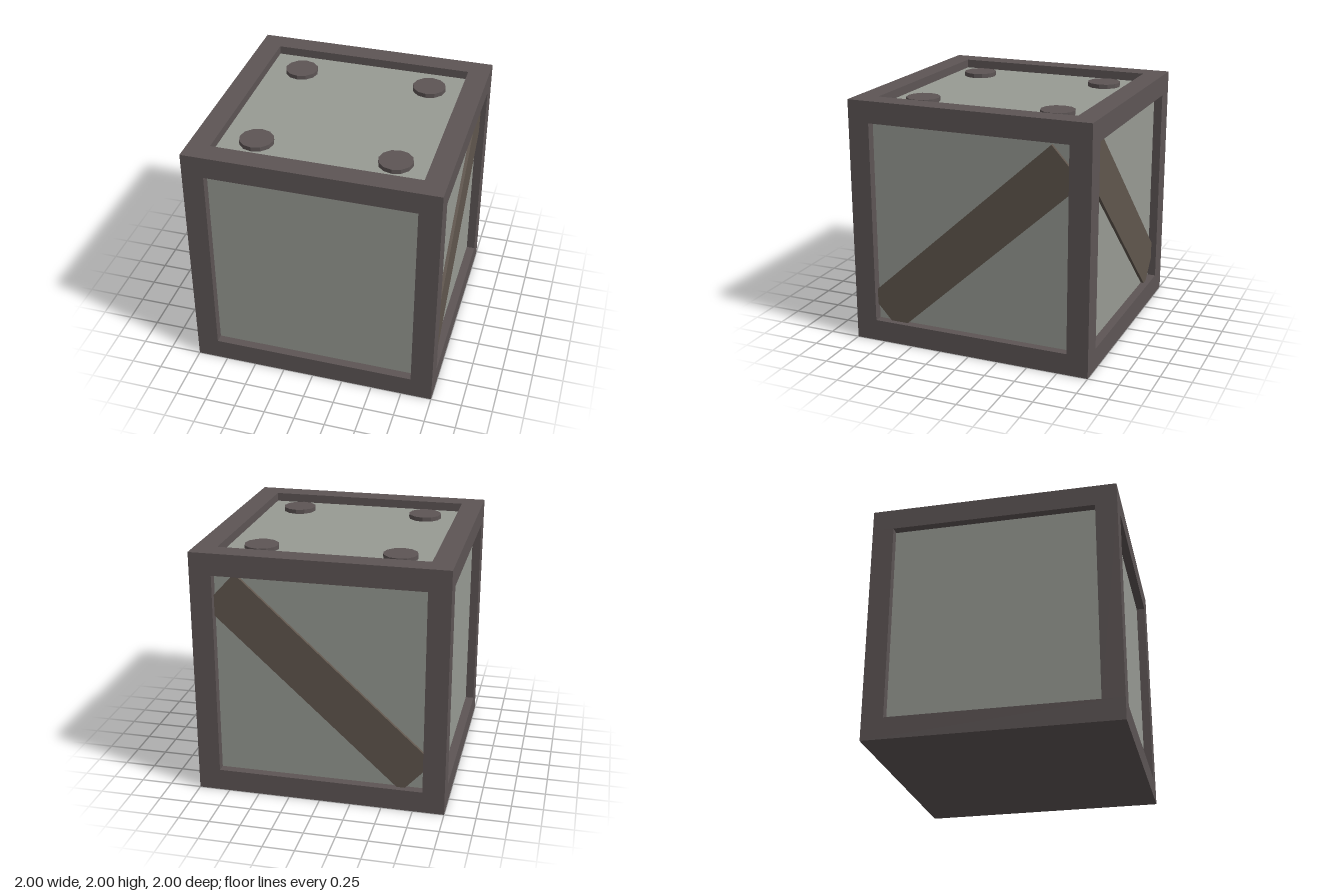
import * as THREE from 'three';

const FRAME = 0.175;   // width of the frame bars
const RECESS = 0.07;   // how far the panels sit behind the frame

const mat = (color) => new THREE.MeshStandardMaterial({ color, flatShading: true });

function add(parent, name, geometry, material, x = 0, y = 0, z = 0) {
  const mesh = new THREE.Mesh(geometry, material);
  mesh.name = name;
  mesh.position.set(x, y, z);
  parent.add(mesh);
  return mesh;
}

export function createModel() {
  const crate = new THREE.Group();
  crate.name = 'crate';
  const frameMat = mat(0x5d5555);
  const panelMat = mat(0x979a93);
  const braceMat = mat(0x60564d);

  // Frame: solid base, four corner posts and an open top rim
  const frame = new THREE.Group();
  frame.name = 'frame';
  crate.add(frame);
  add(frame, 'base', new THREE.BoxGeometry(2, FRAME, 2), frameMat, 0, FRAME / 2, 0);

  const postHeight = 2 - 2 * FRAME;
  const postOffset = 1 - FRAME / 2;
  for (const sx of [-1, 1]) {
    for (const sz of [-1, 1]) {
      add(frame, 'cornerPost', new THREE.BoxGeometry(FRAME, postHeight, FRAME), frameMat,
        sx * postOffset, 1, sz * postOffset);
    }
  }

  const square = (h) => [[-h, -h], [h, -h], [h, h], [-h, h]].map(([x, y]) => new THREE.Vector2(x, y));
  const rimShape = new THREE.Shape(square(1));
  rimShape.holes.push(new THREE.Path(square(1 - FRAME).reverse()));
  const rim = new THREE.ExtrudeGeometry(rimShape, { depth: FRAME, bevelEnabled: false });
  rim.rotateX(-Math.PI / 2);
  add(frame, 'topRim', rim, frameMat, 0, 2 - FRAME, 0);

  // Recessed panels, as one inner box
  const inner = 2 - 2 * RECESS;
  add(crate, 'panels', new THREE.BoxGeometry(inner, inner, inner), panelMat, 0, 1, 0);

  // Diagonal braces on the +x side and the back; their ends run into the frame
  const braces = [
    { name: 'sideBrace', turn: Math.PI / 2, tilt: 0.74, x: 0.015, y: 0.95 },
    { name: 'backBrace', turn: Math.PI, tilt: -0.74, x: -0.005, y: 0.99 },
  ];
  for (const b of braces) {
    const side = new THREE.Group();
    side.name = b.name;
    side.rotation.y = b.turn;
    crate.add(side);
    const plank = add(side, 'plank', new THREE.BoxGeometry(2.11, 0.37, 0.08), braceMat, b.x, b.y, 0.915);
    plank.rotation.z = b.tilt;
  }

  // Round studs on the lid
  for (const x of [-0.545, 0.552]) {
    for (const z of [-0.567, 0.575]) {
      add(crate, 'lidStud', new THREE.CylinderGeometry(0.136, 0.136, 0.065, 12), frameMat, x, 1.933, z);
    }
  }

  return crate;
}
